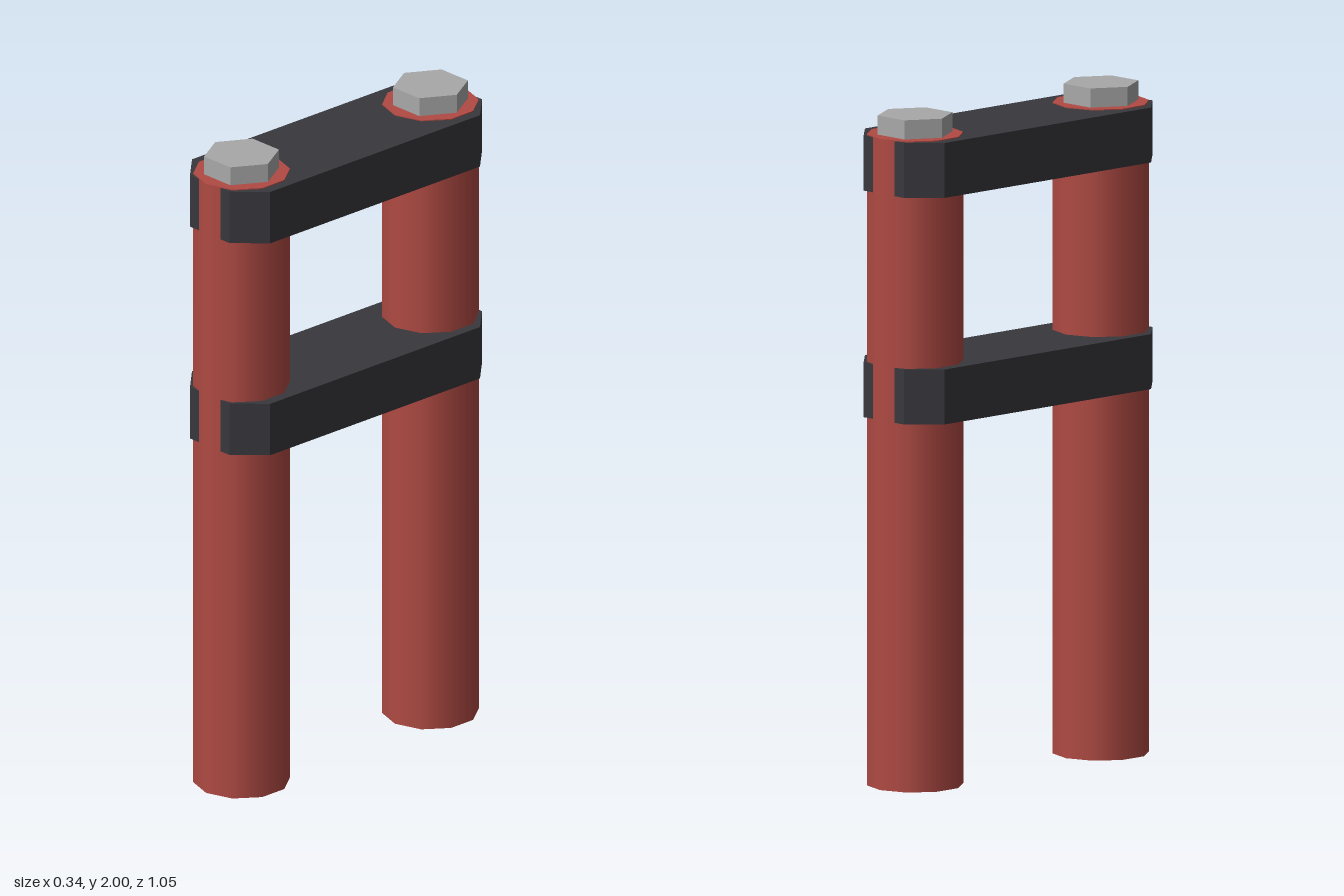
import * as THREE from 'three';

export function createModel() {
  const model = new THREE.Group();
  model.name = 'twinTubeClamp';

  const material = (name, color) => {
    const m = new THREE.MeshStandardMaterial({ color });
    m.name = name;
    return m;
  };
  const red = material('tube red', 0xb04a43);
  const dark = material('clamp charcoal', 0x38373d);
  const grey = material('bolt grey', 0xa8a8a8);

  const add = (name, geometry, mat, y, z = 0) => {
    const mesh = new THREE.Mesh(geometry, mat);
    mesh.name = name;
    mesh.position.set(0, y, z);
    model.add(mesh);
  };

  const spacing = 0.38;
  const tubeHeight = 1.943;

  // Ten-sided tubes with smooth sides, each capped by a hexagonal bolt head
  const tube = new THREE.CylinderGeometry(0.143, 0.143, tubeHeight, 10);
  const boltHeight = 2 - tubeHeight;
  const bolt = new THREE.CylinderGeometry(0.113, 0.113, boltHeight, 6)
    .rotateY(Math.PI / 6)
    .toNonIndexed();
  bolt.computeVertexNormals();

  for (const [side, sign] of [['front', 1], ['back', -1]]) {
    add(side + 'Tube', tube, red, tubeHeight / 2, sign * spacing);
    add(side + 'Bolt', bolt, grey, tubeHeight + boltHeight / 2, sign * spacing);
  }

  // Clamp plates: a long rectangle with chamfered corners
  const outline = new THREE.Shape([
    [0.168, -0.422], [0.168, 0.422], [0.085, 0.508], [-0.085, 0.508],
    [-0.168, 0.422], [-0.168, -0.422], [-0.085, -0.508], [0.085, -0.508],
  ].map(([x, z]) => new THREE.Vector2(x, z)));
  const plate = new THREE.ExtrudeGeometry(outline, { depth: 0.164, bevelEnabled: false })
    .rotateX(-Math.PI / 2);

  add('upperClamp', plate, dark, 1.776);
  add('lowerClamp', plate, dark, 1.1);

  return model;
}
